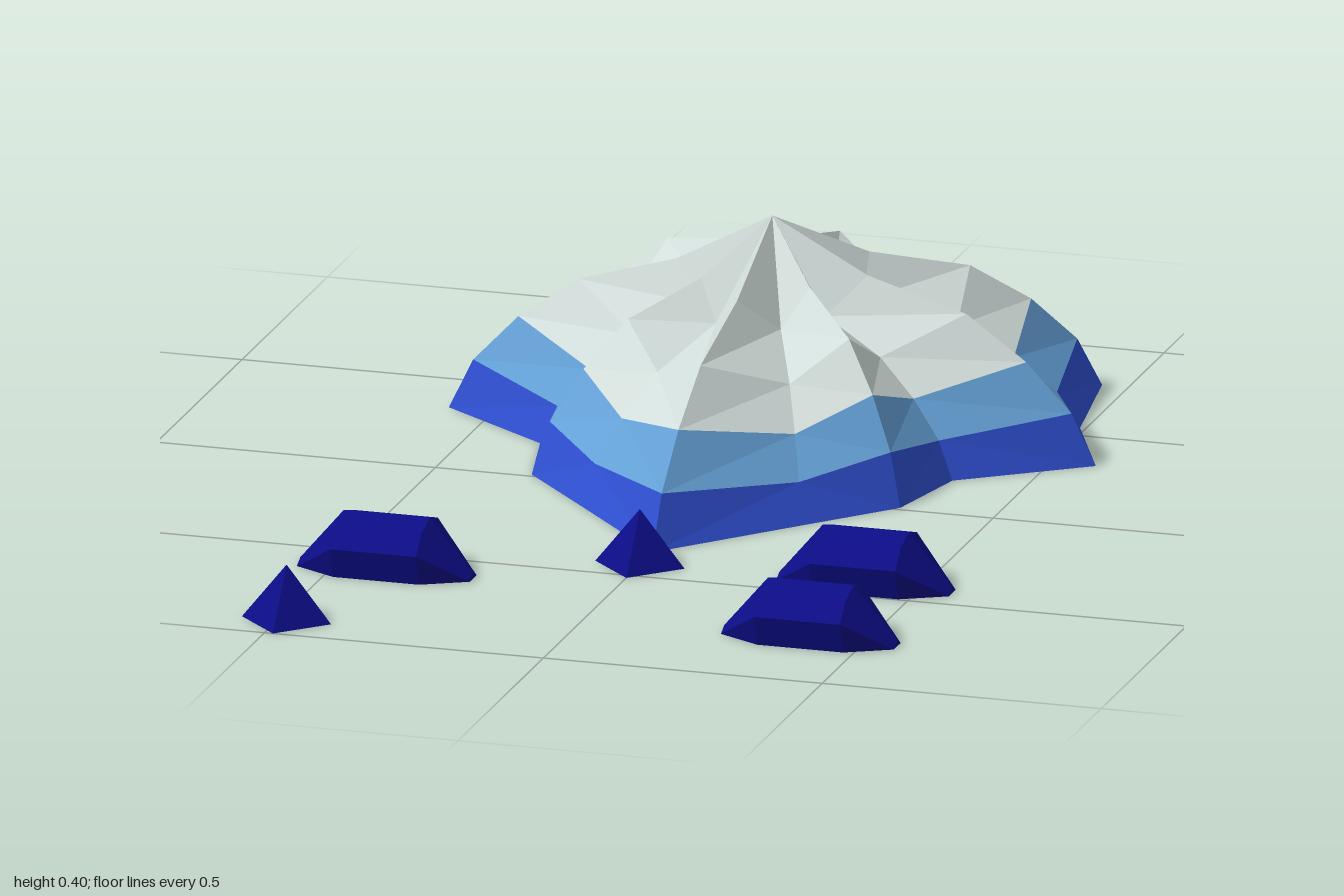
import * as THREE from 'three';
import { ConvexGeometry } from 'three/addons/geometries/ConvexGeometry.js';

const mat = (name, color) => {
  const m = new THREE.MeshStandardMaterial({ color, flatShading: true });
  m.name = name;
  return m;
};

// outline radii from the back spur (0) round to the front spur (8), mirrored
const RADII = [0.66, 0.55, 0.64, 0.53, 0.58, 0.40, 0.467, 0.517, 0.70];
// [radius factor, height on a ridge, height in a valley] from base to peak
const RINGS = [[1, 0, 0], [0.925, 0.09, 0.066], [0.785, 0.175, 0.13],
  [0.6, 0.252, 0.19], [0.295, 0.305, 0.24], [0, 0.397, 0.397]];
const N = 16, CZ = -0.34;

function domePoint(ring, i) {
  const k = i % N, a = k * Math.PI / 8;
  const [f, ridge, valley] = RINGS[ring];
  const r = RADII[Math.min(k, N - k)] * f;
  return [r * Math.sin(a), k % 2 ? valley : ridge, CZ - r * Math.cos(a)];
}

function meshFrom(name, pos, material) {
  const g = new THREE.BufferGeometry();
  g.setAttribute('position', new THREE.Float32BufferAttribute(pos, 3));
  g.computeVertexNormals();
  const m = new THREE.Mesh(g, material);
  m.name = name;
  return m;
}

// faces between two ring levels of the mountain
function band(name, from, to, material) {
  const pos = [];
  for (let r = from; r < to; r++) {
    for (let i = 0; i < N; i++) {
      const a = domePoint(r, i), b = domePoint(r, i + 1);
      const c = domePoint(r + 1, i), d = domePoint(r + 1, i + 1);
      if (r + 1 === RINGS.length - 1) pos.push(...b, ...a, ...c);
      else if (i % 2) pos.push(...b, ...a, ...c, ...b, ...c, ...d);
      else pos.push(...b, ...a, ...d, ...a, ...c, ...d);
    }
  }
  return meshFrom(name, pos, material);
}

// flat underside
function underside(material) {
  const pos = [];
  for (let i = 0; i < N; i++) pos.push(0, 0, CZ, ...domePoint(0, i), ...domePoint(0, i + 1));
  return meshFrom('underside', pos, material);
}

// long rock: a facetted bar tapering to both ends
function longRockGeometry() {
  const pts = [];
  const add = (x, y, z) => pts.push(new THREE.Vector3(x, y, z));
  for (const s of [-1, 1]) {
    for (const t of [-1, 1]) {
      add(s * 0.077, 0, t * 0.062);
      add(s * 0.077, 0.055, t * 0.08);
      add(s * 0.077, 0.088, t * 0.048);
      add(s * 0.155, 0, t * 0.02);
    }
    add(s * 0.077, 0.102, 0);
    add(s * 0.155, 0.01, 0);
  }
  return new ConvexGeometry(pts);
}

export function createModel() {
  const royal = mat('royal blue', 0x2f4fd0);
  const sky = mat('sky blue', 0x64a0d6);
  const pale = mat('pale grey', 0xd2dedb);
  const navy = mat('navy', 0x0d0d88);

  const model = new THREE.Group();
  const mountain = new THREE.Group();
  mountain.name = 'mountain';
  mountain.add(
    band('lowerSlope', 0, 1, royal),
    band('middleSlope', 1, 2, sky),
    band('peak', 2, 5, pale),
    underside(royal));
  model.add(mountain);

  // scattered rocks in front
  const place = (name, geometry, x, y, z) => {
    const m = new THREE.Mesh(geometry, navy);
    m.name = name;
    m.position.set(x, y, z);
    model.add(m);
  };
  const long = longRockGeometry();
  for (const [x, z] of [[0.405, 0.435], [-0.405, 0.595], [0.405, 0.757]]) place('longRock', long, x, 0, z);
  const small = new THREE.ConeGeometry(0.08, 0.1, 4);
  for (const [x, z] of [[0, 0.435], [-0.485, 0.92]]) place('smallRock', small, x, 0.05, z);

  return model;
}
